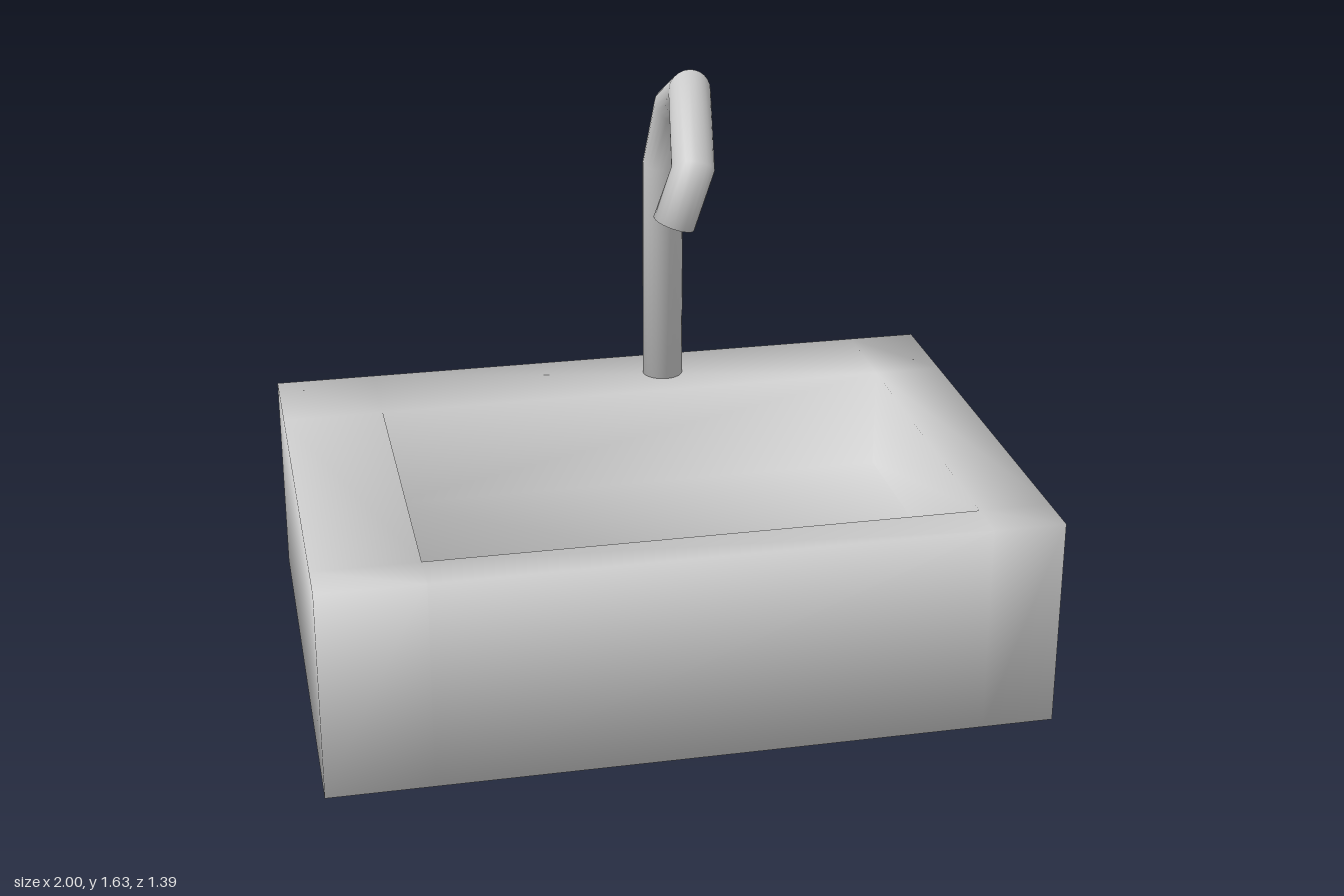
import * as THREE from 'three';

const material = new THREE.MeshStandardMaterial({ color: 0xcccccc });

// Closed soft-shaded surface: every face counts equally in the normals of its corners
function softMesh(name, points, faces) {
  const normals = points.map(() => new THREE.Vector3());
  const index = [];
  for (const face of faces) {
    const [a, b, c] = face.map((n) => points[n]);
    const normal = b.clone().sub(a).cross(c.clone().sub(a)).normalize();
    face.forEach((n) => normals[n].add(normal));
    for (let n = 1; n < face.length - 1; n++) index.push(face[0], face[n], face[n + 1]);
  }
  const flatten = (vectors) => new THREE.Float32BufferAttribute(vectors.flatMap((v) => v.toArray()), 3);
  const geometry = new THREE.BufferGeometry();
  geometry.setAttribute('position', flatten(points));
  geometry.setAttribute('normal', flatten(normals.map((n) => n.normalize())));
  geometry.setIndex(index);
  const mesh = new THREE.Mesh(geometry, material);
  mesh.name = name;
  return mesh;
}

// Block with an off-centre rectangular bowl, on a 4 x 4 grid
function createBasin() {
  const xs = [-1, -0.71, 0.8, 1];
  const zs = [-0.695, -0.41, 0.57, 0.695];
  const levels = [0, 0.6, 0.3]; // underside, rim, bowl floor
  const BOTTOM = 0, RIM = 1, FLOOR = 2;
  const points = [], faces = [];
  for (const y of levels) for (const x of xs) for (const z of zs) points.push(new THREE.Vector3(x, y, z));

  const id = (level, i, k) => level * 16 + i * 4 + k;
  const flat = (l, i, k) => [id(l, i, k), id(l, i, k + 1), id(l, i + 1, k + 1), id(l, i + 1, k)];
  const wall = (lo, p, q) => faces.push([id(lo, ...p), id(lo, ...q), id(RIM, ...q), id(RIM, ...p)]);

  for (let i = 0; i < 3; i++) {
    for (let k = 0; k < 3; k++) {
      faces.push(flat(i === 1 && k === 1 ? FLOOR : RIM, i, k));
      faces.push(flat(BOTTOM, i, k).reverse());
    }
    // Outer walls
    wall(BOTTOM, [i, 3], [i + 1, 3]);
    wall(BOTTOM, [3, i + 1], [3, i]);
    wall(BOTTOM, [i + 1, 0], [i, 0]);
    wall(BOTTOM, [0, i], [0, i + 1]);
  }
  // Bowl walls
  const loop = [[1, 1], [2, 1], [2, 2], [1, 2]];
  loop.forEach((p, n) => wall(FLOOR, p, loop[(n + 1) % 4]));
  return softMesh('basin', points, faces);
}

// Angular gooseneck pipe: round rings of one radius joined by straight runs
function createFaucet() {
  const radius = 0.06, sides = 24;
  const path = [
    [0.162, 0.6, -0.555], [0.162, 1.27, -0.555], [0.172, 1.482, -0.437],
    [0.175, 1.572, -0.257], [0.14, 1.41, -0.05], [0.088, 1.255, -0.055],
  ].map((p) => new THREE.Vector3(...p));
  const last = path.length - 1;
  const direction = (n) => path[n + 1].clone().sub(path[n]).normalize();
  const side = new THREE.Vector3(1, 0, 0);
  const points = [], faces = [];

  path.forEach((p, n) => {
    const into = direction(Math.max(n - 1, 0));
    const out = direction(Math.min(n, last - 1));
    const tangent = into.multiplyScalar(0.7).addScaledVector(out, 0.3).normalize();
    const u = side.clone().addScaledVector(tangent, -side.dot(tangent)).normalize();
    const v = tangent.clone().cross(u);
    for (let s = 0; s < sides; s++) {
      const a = (s / sides) * Math.PI * 2;
      points.push(p.clone().addScaledVector(u, radius * Math.cos(a)).addScaledVector(v, radius * Math.sin(a)));
    }
  });
  for (let n = 0; n < last; n++) {
    for (let s = 0; s < sides; s++) {
      const a = n * sides + s, b = n * sides + ((s + 1) % sides);
      faces.push([a, b, b + sides, a + sides]);
    }
  }
  // Foot and spout end
  const ring = (n) => Array.from({ length: sides }, (_, s) => n * sides + s);
  faces.push(ring(0).reverse(), ring(last));
  return softMesh('faucet', points, faces);
}

export function createModel() {
  const model = new THREE.Group();
  model.name = 'sink';
  model.add(createBasin(), createFaucet());
  return model;
}
